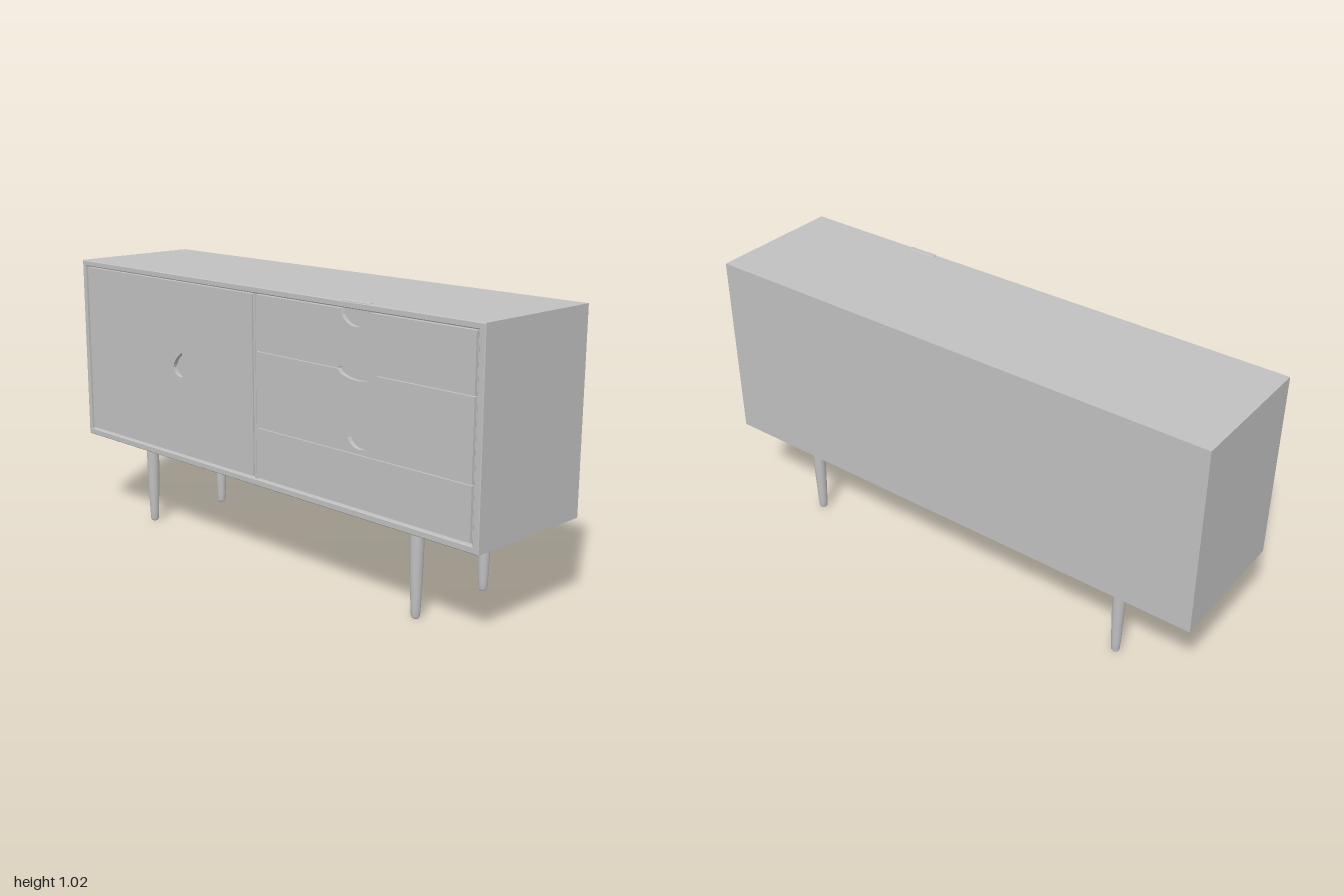
import * as THREE from 'three';
import { RoundedBoxGeometry } from 'three/addons/geometries/RoundedBoxGeometry.js';

const BOTTOM = 0.316, TOP = 1.02, DEPTH = 0.257;

export function createModel() {
  const model = new THREE.Group();
  model.name = 'sideboard';
  const grey = new THREE.MeshStandardMaterial({ color: 0xc0c0c0 });
  grey.name = 'light grey';

  const add = (name, geometry, x = 0, y = 0, z = 0, parent = model) => {
    const mesh = new THREE.Mesh(geometry, grey);
    mesh.name = name;
    mesh.position.set(x, y, z);
    parent.add(mesh);
    return mesh;
  };
  const rect = (T, x0, y0, x1, y1) => {
    const s = new T();
    s.moveTo(x0, y0).lineTo(x1, y0).lineTo(x1, y1).lineTo(x0, y1).closePath();
    return s;
  };
  const extrude = (shape, depth, bevel = 0) => new THREE.ExtrudeGeometry(shape, {
    depth, curveSegments: 10, bevelEnabled: bevel > 0, bevelSize: bevel,
    bevelThickness: bevel, bevelOffset: -bevel, bevelSegments: 1,
  });

  // Cabinet body, with a slim raised frame round the front
  const bodyFront = 0.236, h = TOP - BOTTOM;
  add('cabinetBody', new THREE.BoxGeometry(2, h, bodyFront + DEPTH),
    0, BOTTOM + h / 2, (bodyFront - DEPTH) / 2);
  const frame = rect(THREE.Shape, -1, BOTTOM, 1, TOP);
  frame.holes.push(rect(THREE.Path, -0.982, 0.34, 0.976, 0.998));
  add('frontFrame', extrude(frame, DEPTH - bodyFront - 0.003, 0.003), 0, 0, bodyFront);

  // Upright divider and the thin strip beside the drawers
  add('divider', new THREE.BoxGeometry(0.01, 0.658, 0.014), 0.002, 0.669, bodyFront + 0.007);
  add('sideStrip', new THREE.BoxGeometry(0.006, 0.658, 0.014), 0.973, 0.669, bodyFront + 0.007);

  // Door with a drop-shaped finger hole
  const door = rect(THREE.Shape, -0.973, 0.346, -0.007, 0.993);
  const drop = new THREE.Path();
  drop.moveTo(-0.398, 0.732)
    .quadraticCurveTo(-0.445, 0.7, -0.446, 0.672)
    .quadraticCurveTo(-0.438, 0.64, -0.405, 0.64)
    .quadraticCurveTo(-0.385, 0.642, -0.378, 0.665)
    .quadraticCurveTo(-0.355, 0.685, -0.366, 0.69)
    .closePath();
  door.holes.push(drop);
  add('door', extrude(door, 0.016), 0, 0, bodyFront);

  // Drawer fronts; top and bottom list [centre x, width, depth] of a grip notch
  const L = 0.011, R = 0.964;
  const bow = (path, x0, x1, y, d) => path.bezierCurveTo(
    x0 + (x1 - x0) * 0.1, y + d * 1.33, x0 + (x1 - x0) * 0.9, y + d * 1.33, x1, y);
  const drawerShape = (y0, y1, bottom, top) => {
    const s = new THREE.Shape();
    s.moveTo(L, y0);
    if (bottom) {
      const [x, w, d] = bottom;
      s.lineTo(x - w / 2, y0);
      bow(s, x - w / 2, x + w / 2, y0, d);
    }
    s.lineTo(R, y0).lineTo(R, y1);
    if (top) {
      const [x, w, d] = top;
      s.lineTo(x + w / 2, y1);
      bow(s, x + w / 2, x - w / 2, y1, -d);
    }
    return s.lineTo(L, y1).closePath();
  };
  const topDrawer = drawerShape(0.799, 0.993, [0.49, 0.17, 0.014], [0.482, 0.135, 0.052]);
  const middleDrawer = drawerShape(0.528, 0.796, null, [0.49, 0.17, 0.027]);
  const bottomDrawer = drawerShape(0.346, 0.525);
  const grip = new THREE.Path();
  grip.moveTo(0.445, 0.594);
  bow(grip, 0.445, 0.56, 0.594, -0.05);
  grip.closePath();
  middleDrawer.holes.push(grip);
  [['topDrawer', topDrawer], ['middleDrawer', middleDrawer], ['bottomDrawer', bottomDrawer]]
    .forEach(([name, shape]) => add(name, extrude(shape, 0.016), 0, 0, bodyFront));

  // Small raised lip on the top edge above the drawer grip
  add('topLip', new RoundedBoxGeometry(0.12, 0.014, 0.026, 3, 0.006), 0.482, 1.018, 0.242);

  // Tapered round legs, each under a chamfered mounting plate
  const legProfile = [[0, 0], [0.011, 0.001], [0.015, 0.007], [0.017, 0.04],
    [0.021, 0.14], [0.0235, 0.24], [0.024, 0.303]].map(([r, y]) => new THREE.Vector2(r, y));
  const legGeometry = new THREE.LatheGeometry(legProfile, 24);
  const plateGeometry = new THREE.CylinderGeometry(Math.SQRT2, 1.1, 1, 4, 1)
    .rotateY(Math.PI / 4).scale(0.043, 0.018, 0.052).toNonIndexed();
  plateGeometry.computeVertexNormals();
  for (const sx of [-1, 1]) for (const sz of [-1, 1]) {
    const group = new THREE.Group();
    group.name = (sz > 0 ? 'front' : 'back') + (sx > 0 ? 'Left' : 'Right') + 'Leg';
    group.position.set(sx * 0.69, 0, sz * 0.175);
    model.add(group);
    add('leg', legGeometry, 0, 0, 0, group);
    add('mountingPlate', plateGeometry, 0, 0.308, 0, group);
  }
  return model;
}
